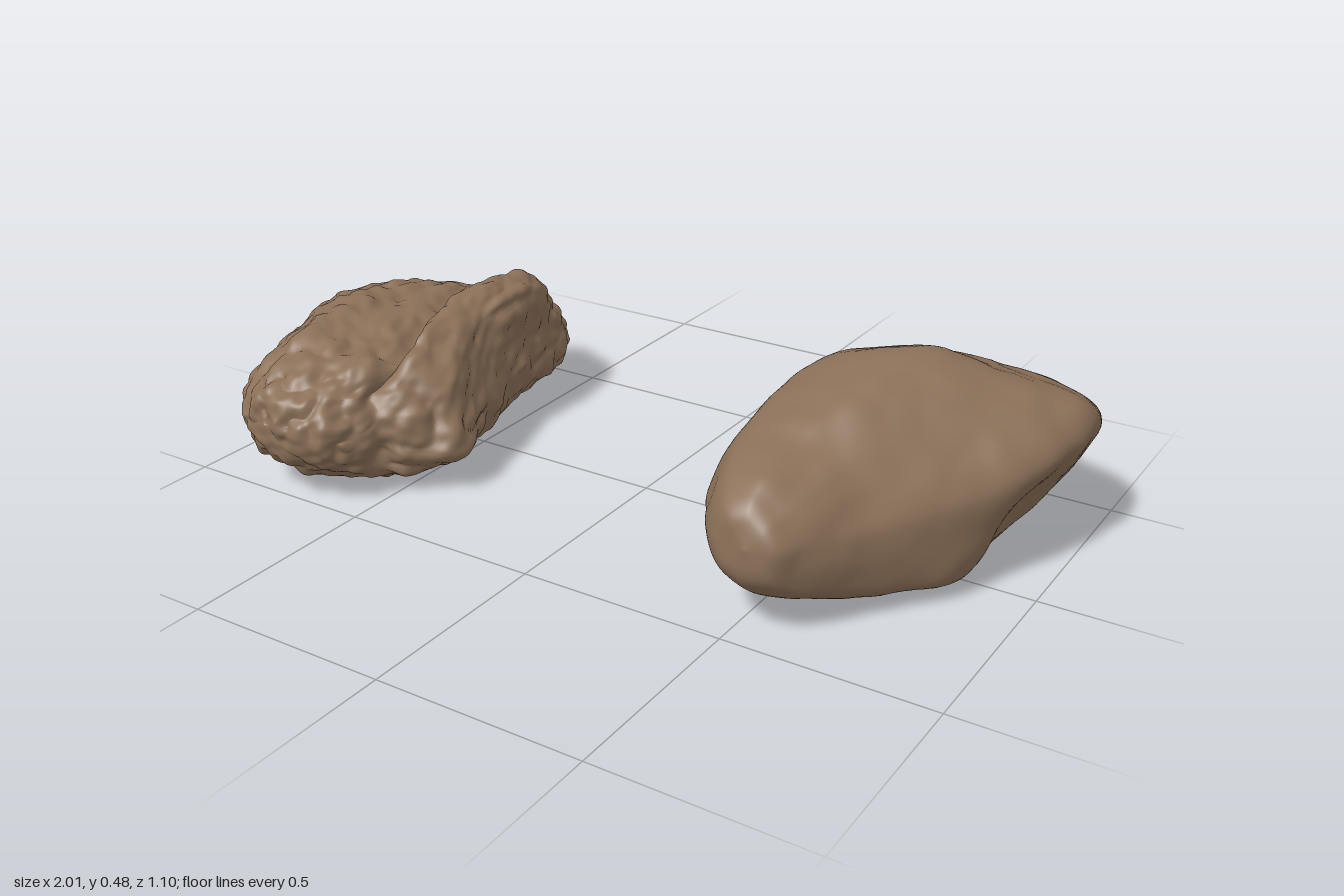
import * as THREE from 'three';
import { mergeVertices } from 'three/addons/utils/BufferGeometryUtils.js';

// Seeded lattice noise, 0..1
function hash(x, y, z) {
  let h = Math.imul(x, 374761393) ^ Math.imul(y, 668265263) ^ Math.imul(z, 1274126177);
  h = Math.imul(h ^ (h >>> 13), 1103515245);
  return ((h ^ (h >>> 16)) >>> 0) / 4294967295;
}
function noise(p, f, fz = f) {
  const c = [p.x * f + 50, p.y * f + 50, p.z * fz + 50];
  const i = c.map(Math.floor);
  const t = c.map((v, k) => { const d = v - i[k]; return d * d * (3 - 2 * d); });
  let sum = 0;
  for (let k = 0; k < 8; k++) {
    const b = [k & 1, (k >> 1) & 1, k >> 2];
    const w = b.reduce((a, bit, n) => a * (bit ? t[n] : 1 - t[n]), 1);
    sum += w * hash(i[0] + b[0], i[1] + b[1], i[2] + b[2]);
  }
  return sum;
}
const ridge = (p, f, fz) => Math.abs(2 * noise(p, f, fz) - 1);

// Loft closed sections [z, x, y, x, y, ...] between two blunt ends,
// then push the surface along its normals by displace(point)
function buildRock(backTip, sections, frontTip, rings, sides, displace) {
  const count = (sections[0].length - 1) / 2;
  const back = new THREE.Vector3(...backTip), front = new THREE.Vector3(...frontTip);
  const blunt = (tip, p) => new THREE.Vector3(
    tip.x + (p.x - tip.x) * 0.62, tip.y + (p.y - tip.y) * 0.62, tip.z + (p.z - tip.z) * 0.25);
  const columns = [];
  for (let k = 0; k < count; k++) {
    const pts = sections.map(s => new THREE.Vector3(s[1 + 2 * k], s[2 + 2 * k], s[0]));
    columns.push(new THREE.CatmullRomCurve3(
      [back, blunt(back, pts[0]), ...pts, blunt(front, pts[pts.length - 1]), front]));
  }
  const positions = [], index = [];
  for (let i = 0; i <= rings; i++) {
    const tip = i === 0 ? backTip : i === rings ? frontTip : null;
    const loop = tip ? null : new THREE.CatmullRomCurve3(
      columns.map(c => c.getPoint(i / rings)), true, 'catmullrom', 0.38);
    for (let j = 0; j < sides; j++) {
      positions.push(...(tip || loop.getPoint(j / sides).toArray()));
      if (i === rings) continue;
      const a = i * sides + j, b = i * sides + (j + 1) % sides;
      if (i > 0) index.push(a, b, a + sides);
      if (i < rings - 1) index.push(b, b + sides, a + sides);
    }
  }
  let geo = new THREE.BufferGeometry();
  geo.setAttribute('position', new THREE.Float32BufferAttribute(positions, 3));
  geo.setIndex(index);
  geo = mergeVertices(geo, 1e-5);
  geo.computeVertexNormals();
  const pos = geo.attributes.position, nor = geo.attributes.normal;
  const p = new THREE.Vector3(), n = new THREE.Vector3();
  for (let i = 0; i < pos.count; i++) {
    p.fromBufferAttribute(pos, i);
    n.fromBufferAttribute(nor, i);
    p.addScaledVector(n, displace(p));
    pos.setXYZ(i, p.x, Math.max(0, p.y), p.z);
  }
  geo.computeVertexNormals();
  return geo;
}

export function createModel() {
  const group = new THREE.Group();
  const stone = new THREE.MeshStandardMaterial({ color: 0x8b7058 });
  stone.name = 'brownStone';

  // Smooth boulder: right, upper right, top, upper left, left, lower left, bottom, lower right
  const smoothSections = [
    [-0.5, .88, .23, .82, .28, .72, .305, .58, .27, .50, .21, .56, .13, .70, .11, .83, .14],
    [-0.4, .97, .27, .88, .34, .70, .36, .50, .32, .40, .21, .47, .10, .68, .05, .87, .10],
    [-0.25, 1.0, .29, .95, .375, .68, .425, .44, .37, .35, .22, .45, .06, .66, .01, .87, .06],
    [-0.1, .98, .28, .84, .40, .64, .475, .42, .40, .325, .23, .44, .05, .65, .00, .84, .02],
    [0.1, .865, .24, .74, .36, .60, .435, .41, .39, .32, .23, .42, .06, .60, .01, .835, .04],
    [0.3, .725, .22, .65, .33, .53, .37, .42, .345, .36, .22, .42, .09, .53, .04, .70, .07],
    [0.43, .645, .22, .61, .29, .54, .335, .46, .315, .42, .22, .46, .13, .54, .09, .625, .12],
  ];
  const hollow = new THREE.Vector3(0.92, 0.14, -0.1);
  const smooth = new THREE.Mesh(buildRock([.72, .22, -.543], smoothSections, [.55, .22, .497], 100, 96,
    p => 0.016 * (noise(p, 7) - 0.5) + 0.008 * (noise(p, 18) - 0.5)
      - 0.035 * Math.exp(-p.distanceToSquared(hollow) / 0.01)), stone);
  smooth.name = 'smoothBoulder';
  group.add(smooth);

  // Rough boulder: right, right shoulder, crest, groove, hump, left, lower left, bottom, lower right
  const roughSections = [
    [-0.5, -.57, .10, -.58, .15, -.62, .18, -.67, .18, -.72, .165, -.77, .12, -.74, .07, -.67, .05, -.59, .05],
    [-0.37, -.525, .14, -.53, .25, -.57, .31, -.65, .27, -.74, .25, -.81, .18, -.78, .08, -.67, .04, -.55, .05],
    [-0.2, -.49, .15, -.495, .36, -.58, .395, -.66, .33, -.80, .335, -.945, .25, -.87, .08, -.68, .03, -.53, .045],
    [0.03, -.445, .13, -.48, .33, -.57, .385, -.64, .335, -.84, .36, -.985, .27, -.92, .06, -.68, .02, -.50, .035],
    [0.26, -.37, .10, -.42, .24, -.52, .33, -.585, .32, -.82, .355, -.935, .25, -.88, .04, -.66, .015, -.45, .04],
    [0.4, -.49, .13, -.495, .21, -.53, .28, -.61, .315, -.79, .335, -.90, .23, -.86, .06, -.68, .02, -.54, .05],
    [0.5, -.545, .17, -.56, .22, -.62, .27, -.70, .29, -.78, .285, -.85, .20, -.81, .11, -.70, .08, -.59, .10],
  ];
  const fissure = new THREE.Line3(new THREE.Vector3(-.70, 0, -.2), new THREE.Vector3(-.50, 0, .39));
  const flat = new THREE.Vector3(), near = new THREE.Vector3();
  const rough = new THREE.Mesh(buildRock([-.65, .10, -.553], roughSections, [-.73, .20, .553], 190, 180,
    p => {
      // lumps and pits stretched lengthwise
      const lumps = 0.024 * (noise(p, 9, 7) - 0.5) + 0.02 * (ridge(p, 19, 12) - 0.45)
        + 0.012 * (noise(p, 42, 34) - 0.5);
      // narrow wandering fissure between the two lobes, deepening forwards
      flat.set(p.x + 0.06 * (noise(p, 8) - 0.5), 0, p.z);
      const d = fissure.closestPointToPoint(flat, true, near).distanceTo(flat);
      const depth = 0.032 * THREE.MathUtils.smoothstep(p.y, 0.05, 0.12)
        * THREE.MathUtils.smoothstep(p.z, -0.25, 0.1);
      return lumps - depth * Math.exp(-d * d / 0.0006);
    }), stone);
  rough.name = 'roughBoulder';
  group.add(rough);
  return group;
}
